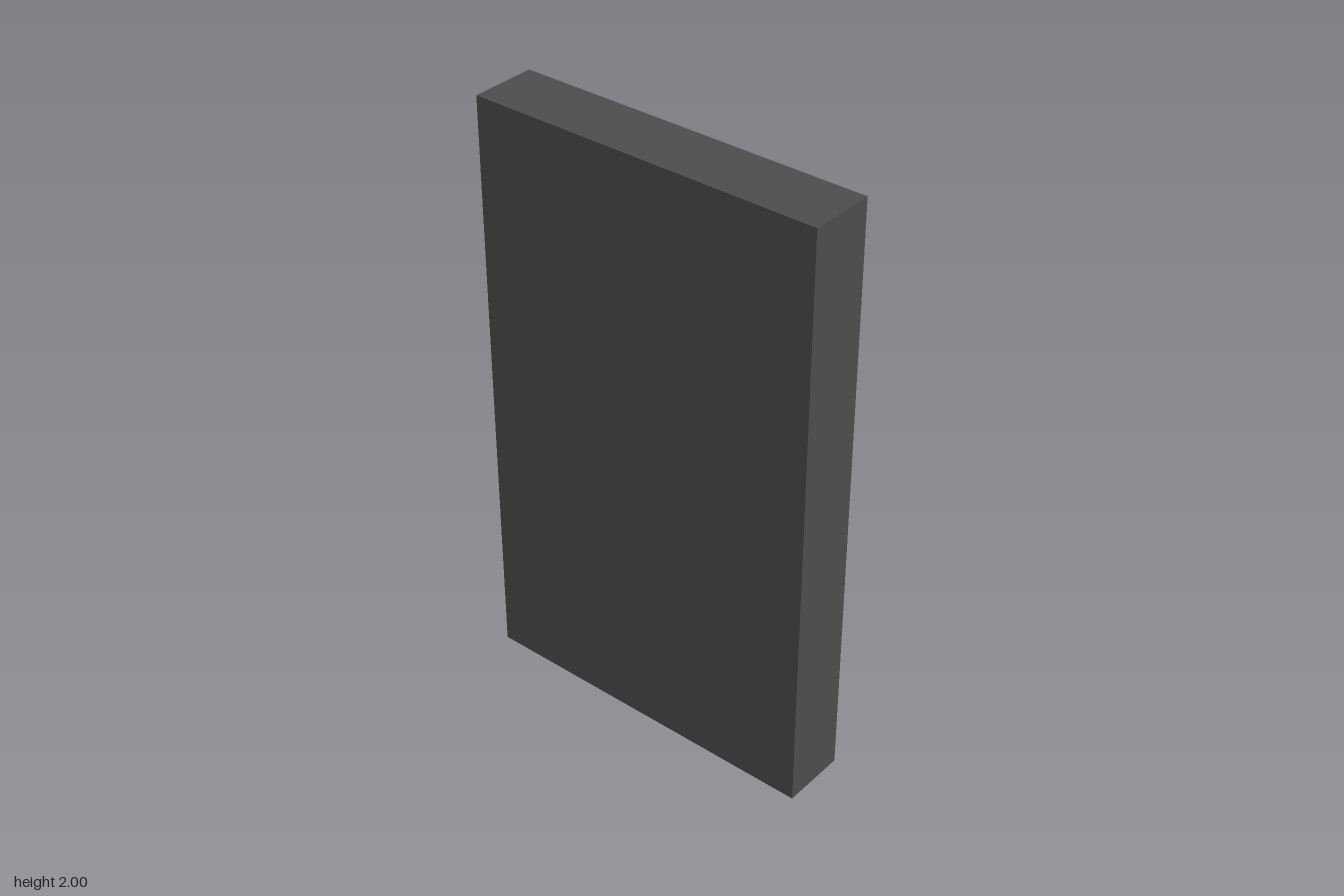
import * as THREE from 'three';

const FRONT = 0.15, SHOULDER = 0.07, BACK = -0.15;
const OPENINGS = {
  window: { half: 0.426, y0: 1.07, y1: 1.83, depth: 0.03 },
  slot: { half: 0.405, y0: 0.535, y1: 0.62, depth: 0.04 },
};

// Rectangle at a given x, counterclockwise as seen from +x
const ring = (x, half, y0, y1) =>
  [[x, y0, half], [x, y0, -half], [x, y1, -half], [x, y1, half]];

// Four-sided walls joining successive rectangles
function bridge(rings) {
  const pos = [];
  for (let r = 0; r + 1 < rings.length; r++) {
    for (let i = 0; i < 4; i++) {
      const j = (i + 1) % 4, a = rings[r], b = rings[r + 1];
      pos.push(...a[i], ...a[j], ...b[j], ...a[i], ...b[j], ...b[i]);
    }
  }
  const g = new THREE.BufferGeometry();
  g.setAttribute('position', new THREE.Float32BufferAttribute(pos, 3));
  g.computeVertexNormals();
  return g;
}

// Flat rectangle facing +x (dir = 1) or -x (dir = -1)
const panel = (x, half, y0, y1, dir = 1) =>
  new THREE.PlaneGeometry(half * 2, y1 - y0)
    .rotateY(dir * Math.PI / 2).translate(x, (y0 + y1) / 2, 0);

const rectangle = (Type, half, y0, y1) => new Type([
  new THREE.Vector2(-half, y0), new THREE.Vector2(half, y0),
  new THREE.Vector2(half, y1), new THREE.Vector2(-half, y1),
]);

export function createModel() {
  const model = new THREE.Group();
  const dark = new THREE.MeshStandardMaterial({ color: 0x4d4d4d, flatShading: true });
  const grey = new THREE.MeshStandardMaterial({ color: 0xcccccc, flatShading: true });
  const add = (name, geometry, material = dark) => {
    const mesh = new THREE.Mesh(geometry, material);
    mesh.name = name;
    model.add(mesh);
  };

  // Slab with a bevelled rim
  add('bodySides', bridge([
    ring(BACK, 0.6, 0, 2), ring(SHOULDER, 0.6, 0, 2), ring(FRONT, 0.525, 0.08, 1.92),
  ]));
  add('backPanel', panel(BACK, 0.6, 0, 2, -1));

  // Face plate pierced by the window and the slot
  const face = rectangle(THREE.Shape, 0.525, 0.08, 1.92);
  for (const [name, { half, y0, y1, depth }] of Object.entries(OPENINGS)) {
    face.holes.push(rectangle(THREE.Path, half, y0, y1));
    const floor = FRONT - depth;
    add(name + 'Recess', bridge([ring(FRONT, half, y0, y1), ring(floor, half, y0, y1)]));
    add(name + (name === 'window' ? 'Pane' : 'Floor'), panel(floor, half, y0, y1),
      name === 'window' ? grey : dark);
  }
  add('facePlate', new THREE.ShapeGeometry(face).rotateY(Math.PI / 2).translate(FRONT, 0, 0));

  return model;
}
